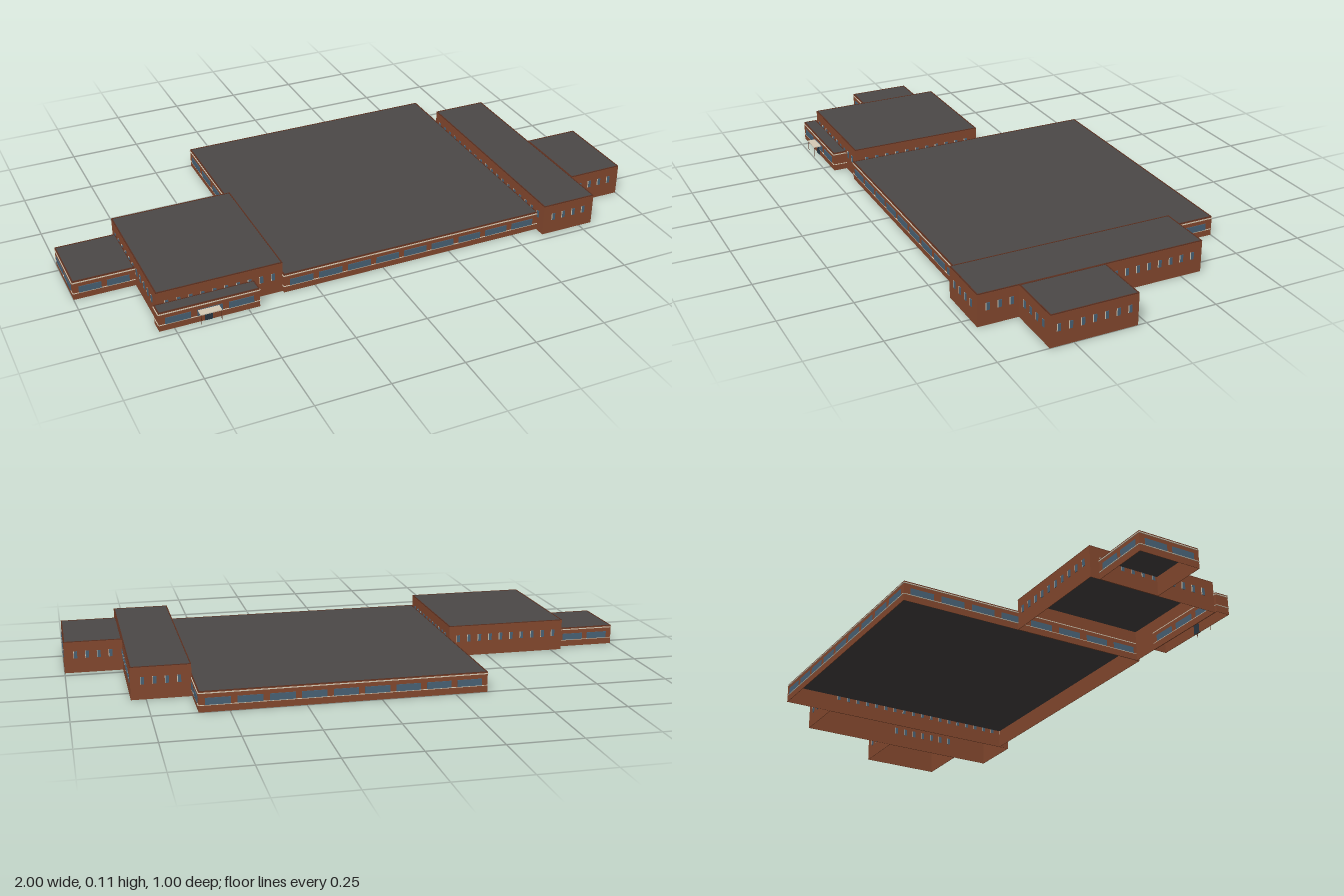
import * as THREE from 'three';

const mat = (name, color) => {
  const m = new THREE.MeshStandardMaterial({ color });
  m.name = name;
  return m;
};
const T = 0.002; // wall thickness

export function createModel() {
  const root = new THREE.Group();
  root.name = 'building';
  const brick = mat('brick', 0x874a2f);
  const coping = mat('coping', 0x5c3020);
  const roofing = mat('roofing', 0x4c4948);
  const glass = mat('glass', 0x4a6478);
  const trim = mat('trim', 0xd6cbb6);
  const doorMat = mat('door', 0x2a3844);

  // Box given by its centre and size
  function box(parent, name, material, w, h, d, x, y, z) {
    const m = new THREE.Mesh(new THREE.BoxGeometry(w, h, d), material);
    m.name = name;
    m.position.set(x, y, z);
    parent.add(m);
  }

  // Wall with its outer face on local z = 0, centred on local x = 0
  function wall(parent, length, h, tall, ribbons) {
    box(parent, 'wall', brick, length, h - 0.002, T, 0, h / 2 - 0.001, -T / 2);
    box(parent, 'coping', coping, length, 0.002, 0.004, 0, h - 0.001, -0.002);
    if (tall) {
      // Row of narrow upright windows
      const n = Math.max(1, Math.round(length / 0.04) - 1);
      for (let i = 0; i < n; i++) {
        const x = (i - (n - 1) / 2) * 0.0402;
        box(parent, 'narrowWindow', glass, 0.011, 0.025, 0.003, x, 0.0645, 0.0008);
        box(parent, 'windowJamb', trim, 0.002, 0.025, 0.003, x - 0.0065, 0.0645, 0.0009);
      }
    } else {
      // Pale bands and ribbon windows between them
      box(parent, 'upperBand', trim, length, 0.003, 0.003, 0, 0.0635, 0.0008);
      box(parent, 'sillBand', trim, length, 0.002, 0.003, 0, 0.0235, 0.0008);
      if (!ribbons) return;
      const pitch = (length - 0.02) / ribbons;
      const w = Math.min(0.085, pitch * 0.8);
      for (let i = 0; i < ribbons; i++) {
        const x = (i - (ribbons - 1) / 2) * pitch;
        box(parent, 'ribbonWindow', glass, w, 0.023, 0.003, x, 0.036, 0.0008);
      }
    }
  }

  // Hollow block, open below, with a recessed flat roof
  function block(name, x0, x1, z0, z1, h, tall) {
    const g = new THREE.Group();
    g.name = name;
    const w = x1 - x0, d = z1 - z0;
    g.position.set((x0 + x1) / 2, 0, (z0 + z1) / 2);
    for (let i = 0; i < 4; i++) {
      const side = new THREE.Group();
      side.name = ['frontWall', 'leftWall', 'backWall', 'rightWall'][i];
      const along = i % 2 ? d : w;
      const out = (i % 2 ? w : d) / 2;
      side.rotation.y = i * Math.PI / 2;
      side.position.set([0, out, 0, -out][i], 0, [out, 0, -out, 0][i]);
      wall(side, along, h, tall, along < 0.1 ? 0 : Math.max(1, Math.round(along / 0.11)));
      g.add(side);
    }
    box(g, 'roof', roofing, w - 2 * T, 0.002, d - 2 * T, 0, h - 0.002, 0);
    root.add(g);
  }

  block('mainHall', -0.36, 0.6, -0.5, 0.43, 0.07, false);
  block('leftWing', 0.6, 0.8, -0.325, 0.47, 0.112, true);
  block('leftAnnex', 0.8, 1.0, 0.03, 0.33, 0.112, true);
  block('rightWing', -0.79, -0.36, -0.07, 0.42, 0.112, true);
  block('rightAnnex', -1.0, -0.79, -0.035, 0.19, 0.07, false);
  block('entranceFront', -0.8, -0.46, 0.42, 0.47, 0.07, false);

  // Entrance canopy on thin posts, with a door beneath
  const porch = new THREE.Group();
  porch.name = 'porch';
  porch.position.set(-0.635, 0, 0.47);
  box(porch, 'canopy', trim, 0.072, 0.003, 0.03, 0, 0.045, 0.015);
  for (const s of [-1, 1])
    box(porch, 'post', coping, 0.0015, 0.036, 0.0015, s * 0.034, 0.026, 0.0285);
  box(porch, 'door', doorMat, 0.026, 0.034, 0.006, 0, 0.018, 0);
  root.add(porch);

  return root;
}
